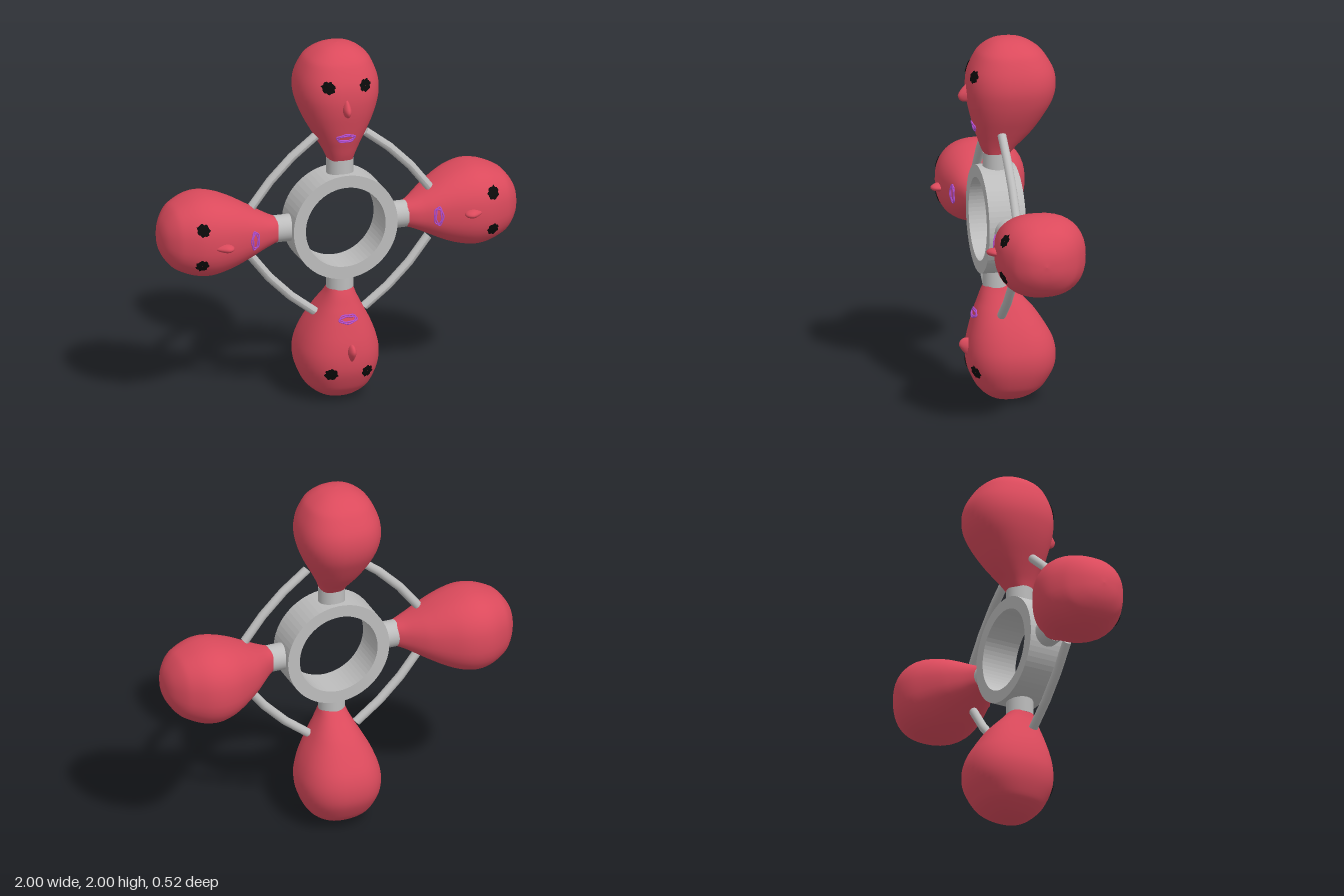
import * as THREE from 'three';

const paint = (name, color, extra = {}) => Object.assign(new THREE.MeshStandardMaterial({ color, ...extra }), { name });
const MID_Z = 0.055; // depth of the hub, stubs and rods

// Head cross-sections: distance from hub centre, half width, front z, back z
const SECTIONS = [
  [0.355, 0.066, 0.12, -0.01], [0.40, 0.083, 0.14, -0.05], [0.45, 0.108, 0.157, -0.1],
  [0.50, 0.135, 0.174, -0.145], [0.58, 0.177, 0.195, -0.2], [0.66, 0.208, 0.212, -0.244],
  [0.74, 0.224, 0.218, -0.261], [0.82, 0.215, 0.207, -0.25], [0.90, 0.183, 0.172, -0.205],
  [0.94, 0.152, 0.142, -0.168], [0.975, 0.102, 0.097, -0.113], [0.993, 0.053, 0.05, -0.06], [1, 0, 0, 0],
];
const POWER = 2.35; // slightly squared cross-section
const curveOf = (f) => new THREE.CatmullRomCurve3(SECTIONS.map(f), false, 'catmullrom', 0.5);
const widthCurve = curveOf(([r, w]) => new THREE.Vector3(r, w, 0));
const depthCurve = curveOf(([r, , f, b]) => new THREE.Vector3(r, f, b));

function section(t) {
  const a = widthCurve.getPoint(t), b = depthCurve.getPoint(t);
  return { r: a.x, w: Math.max(a.y, 0), mid: (b.y + b.z) / 2, half: Math.max((b.y - b.z) / 2, 0) };
}

// Height of the face surface at a point, used to drape painted details
function faceZ(x, r) {
  let lo = 0, hi = 1;
  for (let i = 0; i < 24; i++) {
    const m = (lo + hi) / 2;
    if (section(m).r < r) lo = m; else hi = m;
  }
  const s = section(lo);
  return s.mid + s.half * Math.pow(Math.max(0, 1 - Math.pow(Math.abs(x) / s.w, POWER)), 1 / POWER);
}

function headGeometry(rings = 48, sides = 40) {
  const pos = [], index = [];
  const bend = (v) => Math.sign(v) * Math.pow(Math.abs(v), 2 / POWER);
  for (let i = 0; i <= rings; i++) {
    const s = section(i / rings);
    for (let j = 0; j < sides; j++) {
      const a = (j / sides) * Math.PI * 2;
      pos.push(s.w * bend(Math.cos(a)), s.r, s.mid + s.half * bend(Math.sin(a)));
      if (i === rings) continue;
      const p = i * sides + j, q = i * sides + (j + 1) % sides;
      index.push(p, p + sides, q, q, p + sides, q + sides);
    }
  }
  const g = new THREE.BufferGeometry();
  g.setAttribute('position', new THREE.Float32BufferAttribute(pos, 3));
  g.setIndex(index);
  g.computeVertexNormals();
  return g;
}

// Ragged round patch lying on the face
function eyeGeometry(cx, cy) {
  const g = new THREE.RingGeometry(0.001, 0.033, 28, 3);
  const p = g.attributes.position;
  for (let i = 0; i < p.count; i++) {
    const a = Math.atan2(p.getY(i), p.getX(i));
    const k = 1 + 0.1 * Math.sin(a * 7) + 0.06 * Math.sin(a * 11 + 1);
    const x = cx + p.getX(i) * k, y = cy + p.getY(i) * k;
    p.setXYZ(i, x, y, faceZ(x, y) + 0.005);
  }
  g.computeVertexNormals();
  return g;
}

// Loose closed line around the lips
function lipGeometry(rx, ry, wobble) {
  const pts = [];
  for (let i = 0; i < 20; i++) {
    const a = (i / 20) * Math.PI * 2, k = 1 + 0.08 * Math.sin(a * 5 + wobble);
    const x = -0.006 + rx * k * Math.cos(a), y = 0.515 + ry * k * Math.sin(a);
    pts.push(new THREE.Vector3(x, y, faceZ(x, y) + 0.003));
  }
  return new THREE.TubeGeometry(new THREE.CatmullRomCurve3(pts, true), 48, 0.0042, 6, true);
}

// Nose: drooping teardrop, its tip pulled low and forward
function noseGeometry() {
  const g = new THREE.SphereGeometry(1, 20, 14);
  const p = g.attributes.position;
  for (let i = 0; i < p.count; i++) {
    const y = p.getY(i), z = p.getZ(i), k = 1 - 0.35 * Math.max(0, y);
    p.setXYZ(i, -0.014 + p.getX(i) * 0.023 * k, 0.7 + y * 0.05 - 0.012 * Math.max(0, z), 0.208 + z * 0.053 * k);
  }
  g.computeVertexNormals();
  return g;
}

// Slightly bowed rod
function rodGeometry() {
  const length = 0.51, g = new THREE.CylinderGeometry(0.024, 0.024, length, 12, 3);
  const p = g.attributes.position;
  for (let i = 0; i < p.count; i++) {
    const u = p.getY(i) / (length / 2);
    p.setX(i, p.getX(i) + 0.024 * (1 - u * u));
  }
  g.computeVertexNormals();
  return g;
}

export function createModel() {
  const red = paint('red', 0xdb4a5c);
  const grey = paint('grey', 0xbdbdbd);
  const black = paint('black', 0x0a0a0a, { side: THREE.DoubleSide });
  const violet = paint('violet', 0xb650d4);

  const model = new THREE.Group();
  model.name = 'fourHeadWheel';
  const add = (parent, name, geometry, material) => {
    const mesh = new THREE.Mesh(geometry, material);
    mesh.name = name;
    parent.add(mesh);
    return mesh;
  };

  // Hub ring
  const ring = new THREE.Shape().absarc(0, 0, 0.292, 0, Math.PI * 2);
  ring.holes.push(new THREE.Path().absarc(0, 0, 0.224, 0, Math.PI * 2, true));
  const hub = add(model, 'hubRing', new THREE.ExtrudeGeometry(ring, { depth: 0.2, bevelEnabled: false, curveSegments: 32 }), grey);
  hub.position.set(0, 1, MID_Z - 0.1);

  const parts = [
    ['head', headGeometry(), red],
    ['nose', noseGeometry(), red],
    ['rightEye', eyeGeometry(-0.108, 0.817), black],
    ['leftEye', eyeGeometry(0.095, 0.813), black],
    ['outerLips', lipGeometry(0.05, 0.023, 0), violet],
    ['innerLips', lipGeometry(0.042, 0.014, 2), violet],
  ];
  const stubGeo = new THREE.CylinderGeometry(0.073, 0.073, 0.1, 28);
  const rodGeo = rodGeometry();

  // Four identical arms, a quarter turn apart
  ['top', 'right', 'bottom', 'left'].forEach((side, i) => {
    const arm = new THREE.Group();
    arm.name = side + 'Arm';
    arm.position.y = 1;
    arm.rotation.z = (i * Math.PI) / 2;
    for (const [name, geometry, material] of parts) add(arm, name, geometry, material);
    add(arm, 'neckStub', stubGeo, grey).position.set(0, 0.318, MID_Z);
    const rod = add(arm, 'linkRod', rodGeo, grey);
    rod.position.set(0.322, 0.315, MID_Z);
    rod.rotation.z = Math.PI / 4;
    model.add(arm);
  });
  return model;
}
